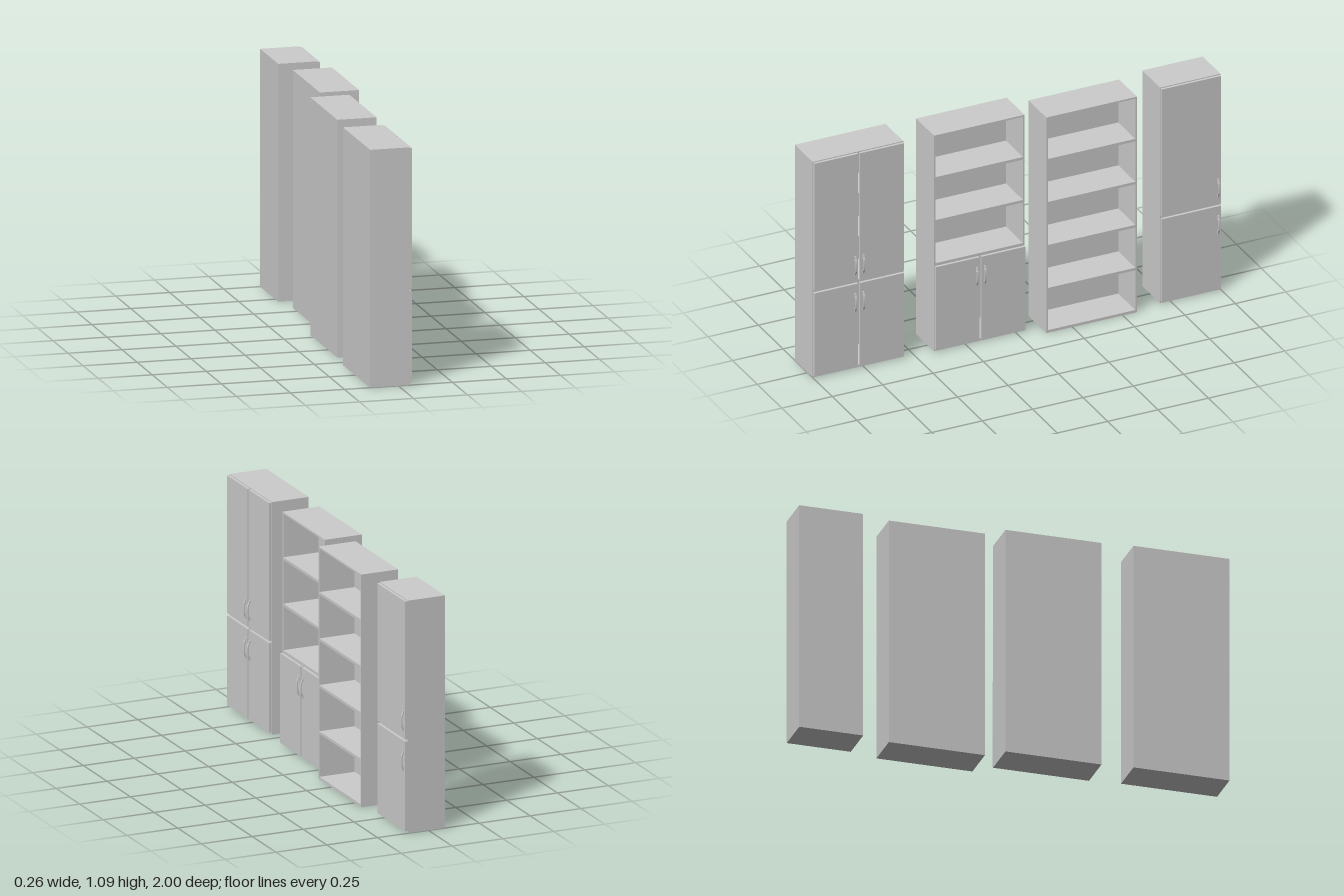
import * as THREE from 'three';

const H = 1.09, DEPTH = 0.181, SIDE = 0.008, SHELF = 0.013, DOOR = 0.013;
const grey = new THREE.MeshStandardMaterial({ color: 0xcccccc });

// Box given by its lower and upper corners
function box(parent, name, x0, x1, y0, y1, z0, z1) {
  const mesh = new THREE.Mesh(new THREE.BoxGeometry(x1 - x0, y1 - y0, z1 - z0), grey);
  mesh.position.set((x0 + x1) / 2, (y0 + y1) / 2, (z0 + z1) / 2);
  mesh.name = name;
  parent.add(mesh);
}

// Bow handle: side profile extruded across the door, with flat feet
function handleGeometry() {
  const s = new THREE.Shape();
  s.moveTo(0, 0.048);
  s.lineTo(0.004, 0.047);
  s.quadraticCurveTo(0.006, 0.035, 0.011, 0.027);
  s.quadraticCurveTo(0.015, 0, 0.011, -0.027);
  s.quadraticCurveTo(0.006, -0.035, 0.004, -0.047);
  s.lineTo(0, -0.048);
  s.lineTo(0, -0.032);
  s.quadraticCurveTo(0.005, -0.028, 0.006, -0.022);
  s.quadraticCurveTo(0.009, 0, 0.006, 0.022);
  s.quadraticCurveTo(0.005, 0.028, 0, 0.032);
  s.closePath();
  const g = new THREE.ExtrudeGeometry(s, { depth: 0.008, bevelEnabled: false, curveSegments: 6 });
  return g.translate(0, 0, -0.004);
}
const handleGeo = handleGeometry();

// A carcass opening towards +x, with shelves and rows of doors
function cabinet({ name, front, z0, z1, shelves, doorRows = [], pair = true }) {
  const g = new THREE.Group();
  g.name = name;
  const back = front - DEPTH;
  box(g, 'backPanel', back, back + SIDE, 0, H, z0, z1);
  box(g, 'rightSide', back + SIDE, front, 0, H, z1 - SIDE, z1);
  box(g, 'leftSide', back + SIDE, front, 0, H, z0, z0 + SIDE);
  box(g, 'bottom', back + SIDE, front, 0, SHELF, z0 + SIDE, z1 - SIDE);
  box(g, 'top', back + SIDE, front, H - SIDE, H, z0 + SIDE, z1 - SIDE);
  for (const y of shelves)
    box(g, 'shelf', back + SIDE, front, y - SHELF / 2, y + SHELF / 2, z0 + SIDE, z1 - SIDE);

  const mid = (z0 + z1) / 2, inset = 0.003, gap = 0.005;
  // Each leaf: z range and the z of its handle
  const leaves = pair
    ? [[z0 + inset, mid - gap, mid - 0.02], [mid + gap, z1 - inset, mid + 0.02]]
    : [[z0 + inset, z1 - inset, z0 + 0.019]];
  for (const [y0, y1, handleY] of doorRows)
    for (const [a, b, hz] of leaves) {
      box(g, 'door', front, front + DOOR, y0, y1, a, b);
      const handle = new THREE.Mesh(handleGeo, grey);
      handle.name = 'handle';
      handle.position.set(front + DOOR, handleY, hz);
      g.add(handle);
    }
  return g;
}

export function createModel() {
  const model = new THREE.Group();
  model.name = 'cabinetRow';
  const lower = [0.01, 0.43, 0.337], upper = [0.442, 1.086, 0.523];
  const upperShelves = [0.437, 0.655, 0.872];
  model.add(
    cabinet({ name: 'doubleWardrobe', front: 0.05, z0: 0.55, z1: 1, shelves: upperShelves, doorRows: [lower, upper] }),
    cabinet({ name: 'halfOpenBookcase', front: 0.065, z0: -0.045, z1: 0.405, shelves: upperShelves, doorRows: [lower] }),
    cabinet({ name: 'openBookcase', front: 0.131, z0: -0.57, z1: -0.12, shelves: [0.22, ...upperShelves] }),
    cabinet({ name: 'singleWardrobe', front: 0.1, z0: -1, z1: -0.7, shelves: upperShelves, doorRows: [lower, upper], pair: false }),
  );
  return model;
}
